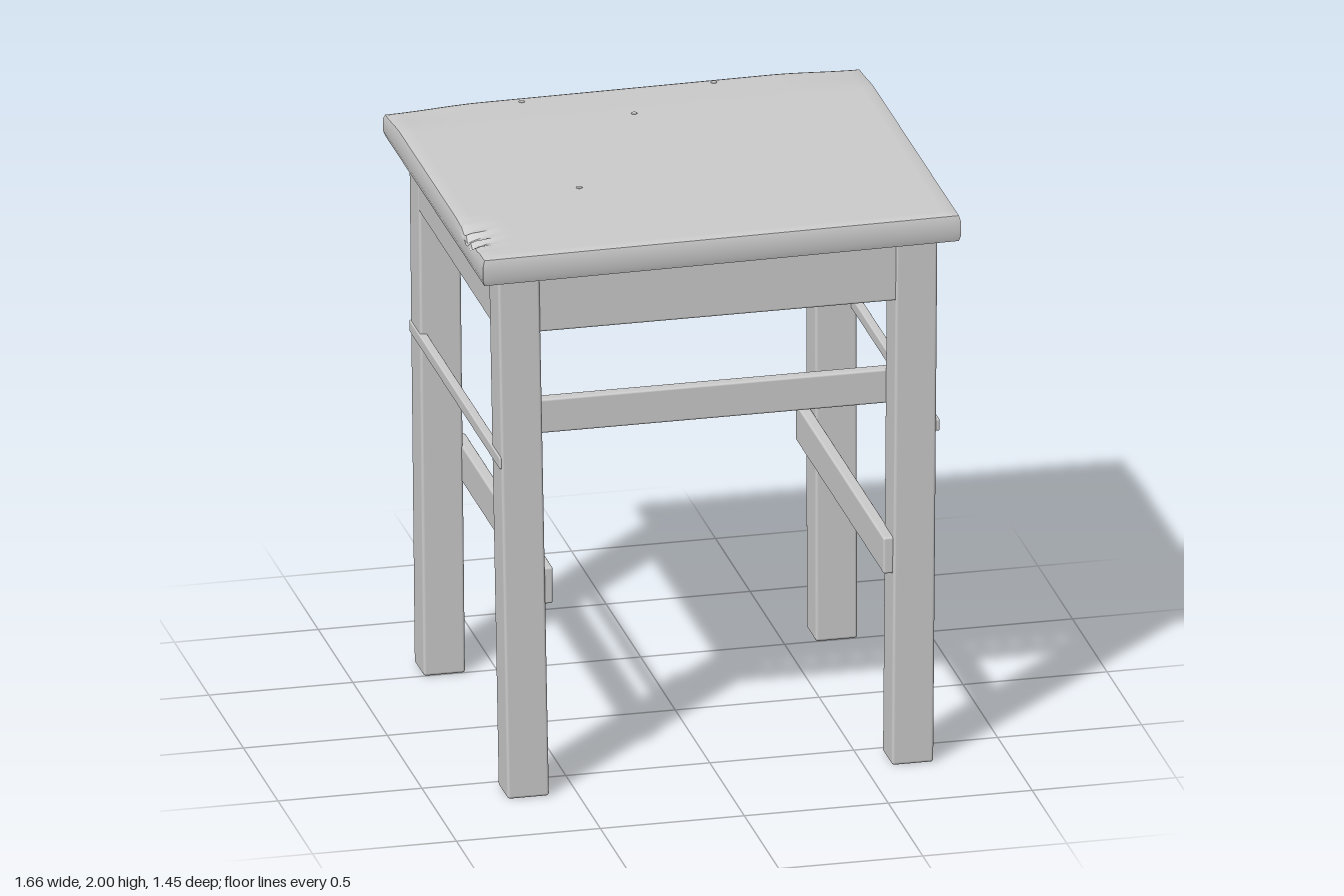
import * as THREE from 'three';
import { RoundedBoxGeometry } from 'three/addons/geometries/RoundedBoxGeometry.js';
import { toCreasedNormals } from 'three/addons/utils/BufferGeometryUtils.js';

const material = new THREE.MeshStandardMaterial({ color: 0xcccccc });

function add(group, name, geometry, x = 0, y = 0, z = 0) {
  const mesh = new THREE.Mesh(geometry, material);
  mesh.name = name;
  mesh.position.set(x, y, z);
  group.add(mesh);
  return mesh;
}

// Softly rounded board given by its extents on each axis
function board(group, name, [x0, x1], [y0, y1], [z0, z1], radius = 0.008) {
  const g = new RoundedBoxGeometry(x1 - x0, y1 - y0, z1 - z0, 2, radius);
  return add(group, name, g, (x0 + x1) / 2, (y0 + y1) / 2, (z0 + z1) / 2);
}

// Square leg whose centre line leans from a bottom point to a top point
function leg(group, name, bottom, top) {
  const h = 1.89;
  const g = new RoundedBoxGeometry(0.145, h, 0.14, 2, 0.01);
  const p = g.attributes.position;
  for (let i = 0; i < p.count; i++) {
    const t = p.getY(i) / h + 0.5;
    p.setX(i, p.getX(i) + THREE.MathUtils.lerp(bottom[0], top[0], t));
    p.setZ(i, p.getZ(i) + THREE.MathUtils.lerp(bottom[1], top[1], t));
  }
  add(group, name, g, 0, h / 2, 0);
}

// Height of the slightly tilted, worn seat top
const smooth = THREE.MathUtils.smoothstep;
function topHeight(x, z) {
  const back = smooth(-z, 0.5, 0.73);
  const corner = back * smooth(Math.abs(x), 0.5, 0.83);
  return 1.991 + 0.006 * (x / 0.83) + 0.003 * (z / 0.73) - 0.004 * back - 0.012 * corner;
}

// Seat board: finely divided box with worn rims and a splintered notch
function seatGeometry() {
  const g = new THREE.BoxGeometry(1.66, 0.1, 1.45, 64, 4, 64);
  const p = g.attributes.position;
  for (let i = 0; i < p.count; i++) {
    let x = p.getX(i) - 0.01, z = p.getZ(i) - 0.005;
    const v = p.getY(i) / 0.1 + 0.5;
    const top = topHeight(x, z);
    const bottom = 1.889 + 0.006 * (x / 0.83) + 0.003 * (z / 0.73);
    let y = THREE.MathUtils.lerp(bottom, top, v);
    const onX = Math.abs(p.getX(i)) > 0.829, onZ = Math.abs(p.getZ(i)) > 0.724;
    if (v > 0.99 || v < 0.01) {
      if (onX) x -= Math.sign(x) * 0.006;
      if (onZ) z -= Math.sign(z) * 0.006;
      if (onX || onZ) y += v > 0.5 ? -0.005 : 0.005;
    }
    if (v > 0.7) {
      const d = (z - 0.49) / 0.1;
      const reach = smooth(-x, 0.7, 0.84) * Math.exp(-d * d);
      y -= 0.035 * reach * (0.65 + 0.35 * Math.sin(z * 95)) * (v > 0.99 ? 1 : 0.4);
    }
    p.setXYZ(i, x, y, z);
  }
  return toCreasedNormals(g, 0.5);
}

export function createModel() {
  const model = new THREE.Group();
  model.name = 'stool';

  add(model, 'seat', seatGeometry());

  // Legs, leaning slightly
  leg(model, 'frontRightLeg', [-0.67, 0.6], [-0.7, 0.585]);
  leg(model, 'frontLeftLeg', [0.665, 0.6], [0.683, 0.585]);
  leg(model, 'backRightLeg', [-0.682, -0.565], [-0.695, -0.59]);
  leg(model, 'backLeftLeg', [0.68, -0.565], [0.683, -0.59]);

  // Aprons, flush with the outer faces of the legs
  board(model, 'frontApron', [-0.65, 0.64], [1.68, 1.895], [0.59, 0.65]);
  board(model, 'backApron', [-0.65, 0.64], [1.68, 1.895], [-0.655, -0.595]);
  board(model, 'rightApron', [-0.765, -0.705], [1.68, 1.895], [-0.54, 0.54]);
  board(model, 'leftApron', [0.69, 0.75], [1.68, 1.895], [-0.54, 0.54]);

  // Front stretcher fixed to the inner side of the front legs
  board(model, 'frontStretcher', [-0.75, 0.74], [1.26, 1.383], [0.48, 0.525]);

  for (const side of [-1, 1]) {
    const label = side < 0 ? 'right' : 'left';
    // Low stretcher fixed to the inner faces of the legs
    const inner = side < 0 ? [-0.62, -0.58] : [0.567, 0.607];
    board(model, label + 'Stretcher', inner, [0.69, 0.822], [-0.62, 0.65]);
    // Thin slat let into the outer faces of the legs
    const outer = side < 0 ? [-0.768, -0.738] : [0.733, 0.763];
    board(model, label + 'Slat', outer, [1.195, 1.238], [-0.655, 0.655], 0.006);
  }

  // Nail heads on the seat top and along its left edge
  const nail = new THREE.CylinderGeometry(0.011, 0.011, 0.008, 10);
  for (const [x, z] of [[-0.37, -0.68], [0.3, -0.69], [-0.03, -0.47], [-0.37, 0.15]])
    add(model, 'topNail', nail, x, topHeight(x, z) - 0.002, z);
  for (const z of [-0.58, -0.02, 0.27, 0.61])
    add(model, 'edgeNail', nail, 0.82, 1.95, z).rotation.z = Math.PI / 2;

  return model;
}
